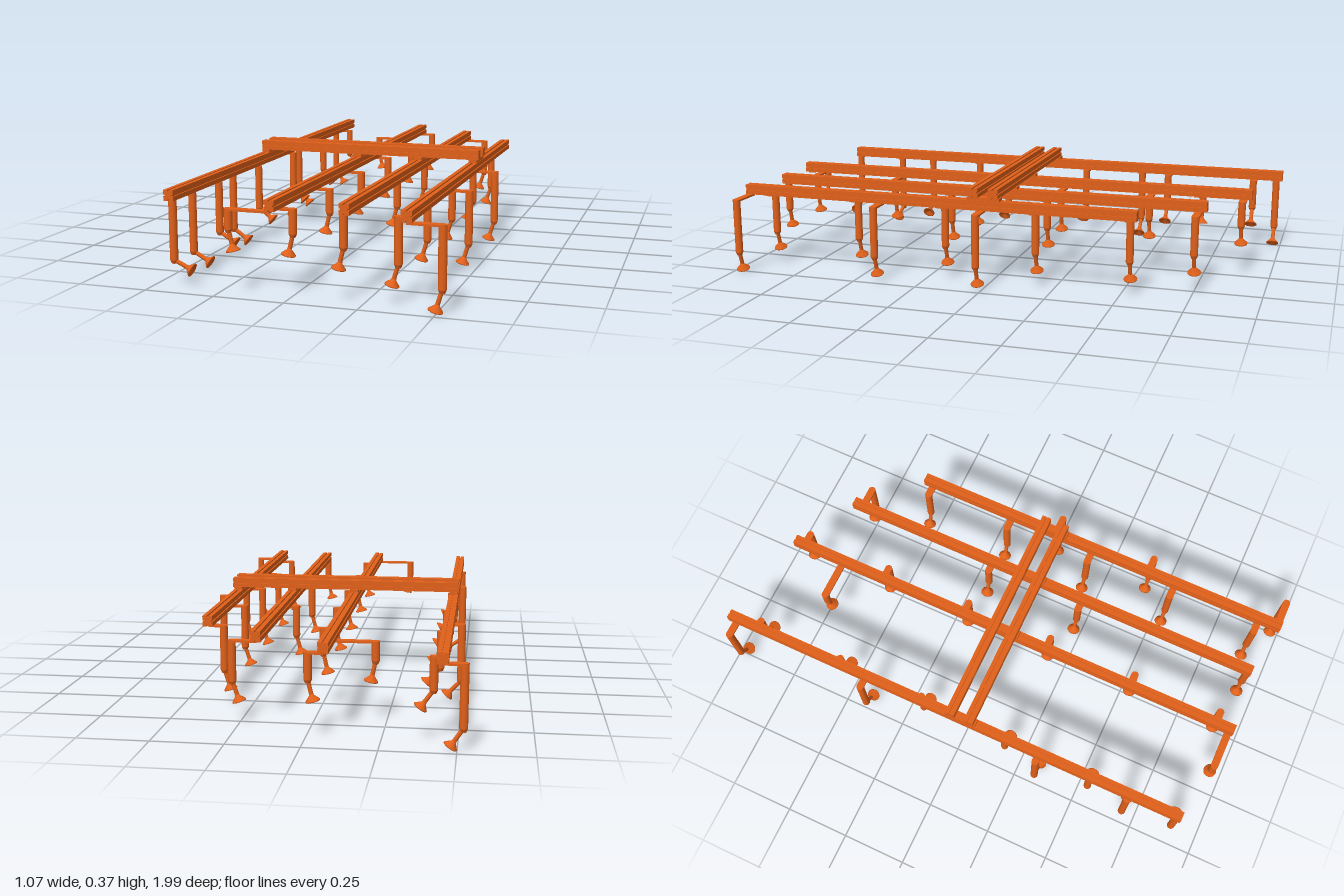
import * as THREE from 'three';

const material = new THREE.MeshStandardMaterial({ color: 0xe0601a, side: THREE.DoubleSide });
const rad = THREE.MathUtils.degToRad;
const lerp = THREE.MathUtils.lerp;

const ARM_Y = 0.287;       // underside of the arms
const FOOT = 0.075;        // length from cylinder end to cup rim
const ROD_R = 0.0142;

function mesh(name, geometry, x = 0, y = 0, z = 0) {
  const m = new THREE.Mesh(geometry, material);
  m.name = name;
  m.position.set(x, y, z);
  return m;
}

// Slotted square profile, extruded along z and centred
function profileBar(w, h, length) {
  const g = 0.003, d = 0.005, a = w / 2, b = h / 2;
  const points = [
    [-a, -b], [-g, -b], [-g, -b + d], [g, -b + d], [g, -b],
    [a, -b], [a, -g], [a - d, -g], [a - d, g], [a, g],
    [a, b], [g, b], [g, b - d], [-g, b - d], [-g, b],
    [-a, b], [-a, g], [-a + d, g], [-a + d, -g], [-a, -g],
  ].map(([x, y]) => new THREE.Vector2(x, y));
  const geo = new THREE.ExtrudeGeometry(new THREE.Shape(points), { depth: length, bevelEnabled: false });
  return geo.translate(0, 0, -length / 2);
}

// Tilting foot: origin at the ball joint, pointing down
const neckGeometry = new THREE.CylinderGeometry(0.0075, 0.0075, FOOT - 0.018, 16)
  .translate(0, -(FOOT - 0.018) / 2, 0);
const cupGeometry = new THREE.LatheGeometry([
  [0, 0.024], [0.008, 0.024], [0.009, 0.019], [0.0245, 0.003], [0.025, 0], [0.021, 0], [0, 0.01],
].map(([r, y]) => new THREE.Vector2(r, y - FOOT)), 24);

// One suction unit; x, y, z is the centre of the cup rim
function suctionUnit(railX, x, y, z, tiltDeg) {
  const t = rad(tiltDeg);
  const unit = new THREE.Group();
  unit.name = 'suctionUnit';
  const cx = x - FOOT * Math.sin(t);
  const cy = y + FOOT * Math.cos(t);

  // Flat arm under the rail with a rounded end
  const reach = Math.abs(cx - railX);
  unit.add(mesh('arm', new THREE.BoxGeometry(reach, 0.007, 0.028), (cx + railX) / 2, ARM_Y + 0.0035, z));
  unit.add(mesh('armEnd', new THREE.CylinderGeometry(ROD_R, ROD_R, 0.007, 24), cx, ARM_Y + 0.0035, z));

  // Hanging cylinder with a tapered tip
  const len = ARM_Y - cy;
  unit.add(mesh('cylinder', new THREE.CylinderGeometry(ROD_R, ROD_R, len, 24), cx, cy + len / 2, z));
  unit.add(mesh('taper', new THREE.CylinderGeometry(ROD_R, 0.009, 0.012, 24), cx, cy - 0.006, z));

  const foot = new THREE.Group();
  foot.name = 'foot';
  foot.position.set(cx, cy, z);
  foot.rotation.z = t;
  foot.add(mesh('neck', neckGeometry), mesh('suctionCup', cupGeometry));
  unit.add(foot);
  return unit;
}

const ROWS = [-0.885, -0.53, -0.175, 0.18, 0.537, 0.892];
const curveTilt = (z) => lerp(33, 65, (z + 1) / 1.9);

// Each rail: position, z range and cups as [x, y, z, tilt]
const rails = [
  {
    x: -0.451, z0: -1, z1: 0.908,
    cups: [
      ...ROWS.map((z, i) => [-0.376, lerp(0.118, 0.055, i / 5), z, curveTilt(z)]),
      [-0.478, 0.018, -0.97, curveTilt(-0.97)],
      [-0.444, 0.028, -0.407, curveTilt(-0.407)],
      [-0.418, 0.027, 0.328, curveTilt(0.328)],
      [-0.402, 0.032, 0.697, curveTilt(0.697)],
    ],
  },
  {
    x: -0.061, z0: -0.918, z1: 0.965,
    cups: [
      ...ROWS.map((z, i) => [-0.024, lerp(0.127, 0.136, i / 5), z, -13]),
      [-0.197, 0.152, -0.708, 12],
      [-0.197, 0.15, 0.947, 12],
    ],
  },
  {
    x: 0.188, z0: -0.781, z1: 0.943,
    cups: [
      [0.253, 0.077, -0.75, -18],
      [0.133, 0.106, -0.163, -15],
      [0.133, 0.106, 0.228, -15],
      [0.163, 0.113, 0.927, -14],
    ],
  },
  {
    x: 0.406, z0: -0.565, z1: 0.982,
    cups: [
      ...ROWS.slice(1).map((z, i) => [0.333, lerp(0.056, 0.063, i / 4), z, -17]),
      [0.462, 0.026, 0.016, -17],
      [0.454, 0.029, 0.42, -17],
      [0.498, 0.014, 0.968, -17],
    ],
  },
];

export function createModel() {
  const group = new THREE.Group();
  group.name = 'suctionGripperFrame';

  for (const { x, z0, z1, cups } of rails) {
    const rail = new THREE.Group();
    rail.name = 'railAssembly';
    rail.add(mesh('rail', profileBar(0.036, 0.038, z1 - z0), x, 0.313, (z0 + z1) / 2));
    // Plate joining the rail to the cross beams
    rail.add(mesh('connectorPlate', new THREE.BoxGeometry(0.032, 0.012, 0.126), x, 0.337, 0.006));
    for (const cup of cups) rail.add(suctionUnit(x, ...cup));
    group.add(rail);
  }

  // Pair of cross beams on top
  for (const z of [-0.033, 0.044]) {
    const beam = mesh('crossBeam', profileBar(0.037, 0.036, 0.897), -0.021, 0.36, z);
    beam.rotation.y = Math.PI / 2;
    group.add(beam);
  }
  return group;
}
